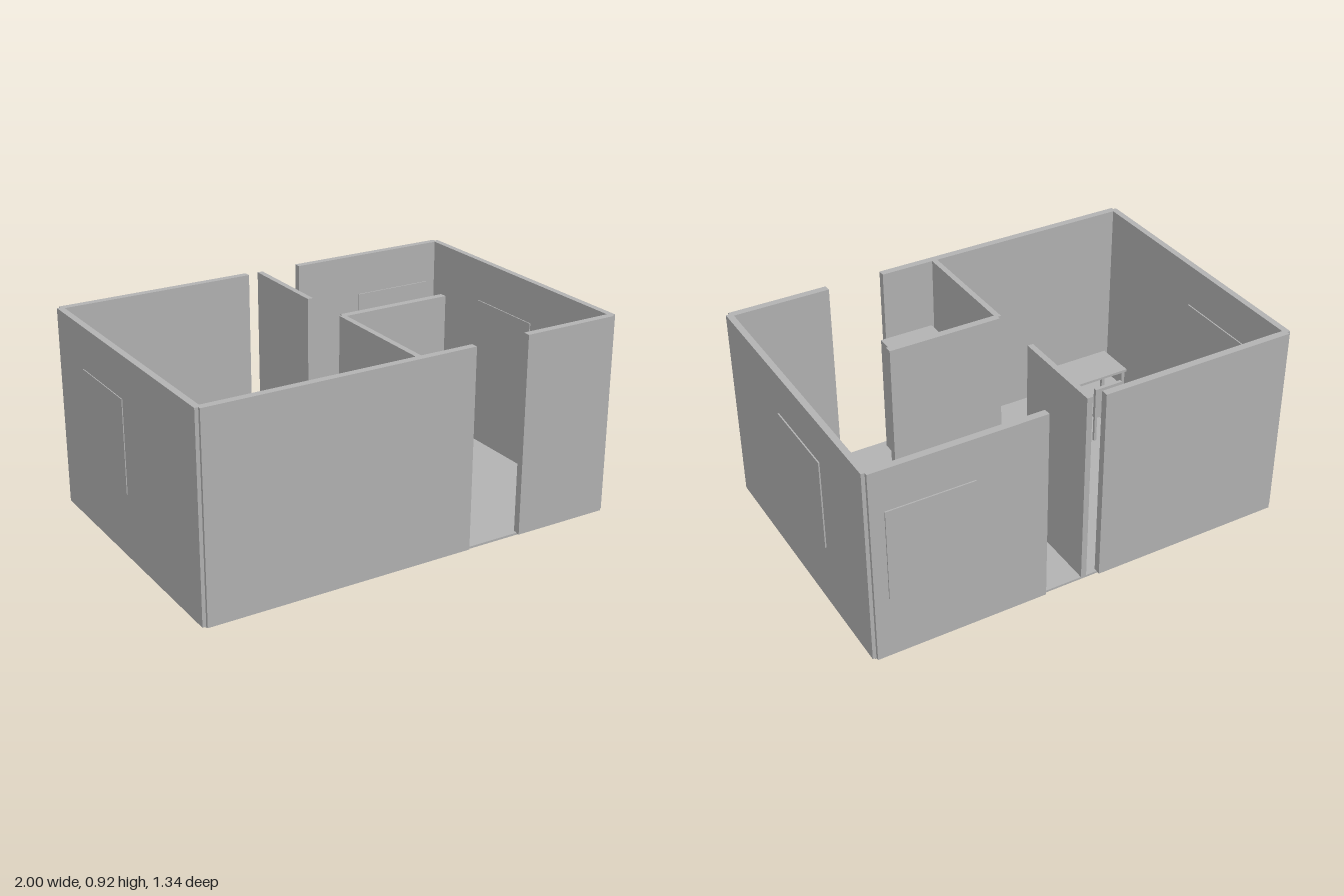
import * as THREE from 'three';

export function createModel() {
  const model = new THREE.Group();
  model.name = 'officeFloor';
  const grey = new THREE.MeshStandardMaterial({ color: 0xb2b2b2 });
  grey.name = 'plain grey';

  // Box given by its limits on each axis
  function box(name, x0, x1, y0, y1, z0, z1, parent = model) {
    const mesh = new THREE.Mesh(new THREE.BoxGeometry(x1 - x0, y1 - y0, z1 - z0), grey);
    mesh.position.set((x0 + x1) / 2, (y0 + y1) / 2, (z0 + z1) / 2);
    mesh.name = name;
    parent.add(mesh);
    return mesh;
  }

  box('floor', -0.98, 0.98, 0, 0.01, -0.654, 0.654);

  // Outer walls with door gaps, then the partitions: x0, x1, z0, z1
  const walls = {
    backWallRight: [-0.98, -0.07, -0.67, -0.637],
    backWallLeft: [0.193, 0.975, -0.67, -0.637],
    frontWallRight: [-0.98, 0.258, 0.635, 0.668],
    frontWallLeft: [0.52, 0.975, 0.635, 0.668],
    rightSideWall: [-0.996, -0.967, -0.655, 0.655],
    leftSideWall: [0.962, 0.991, -0.655, 0.655],
    backPartition: [-0.016, 0.01, -0.654, -0.2],
    frontPartition: [-0.016, 0.01, 0.062, 0.64],
    crossPartition: [0, 0.52, 0.046, 0.079],
  };
  for (const [name, [x0, x1, z0, z1]] of Object.entries(walls)) {
    box(name, x0, x1, 0.006, 0.92, z0, z1);
  }

  // Windows stand slightly proud of both wall faces
  box('rightWindow', -1, -0.961, 0.302, 0.727, -0.395, 0);
  box('leftWindow', 0.957, 0.997, 0.302, 0.727, -0.265, 0.13);
  box('backWindow', 0.52, 0.912, 0.302, 0.727, -0.676, -0.631);

  // Two desks with chairs, mirrored across the room
  for (const s of [-1, 1]) {
    const place = new THREE.Group();
    place.name = s < 0 ? 'backWorkplace' : 'frontWorkplace';
    model.add(place);
    const part = (name, x0, x1, y0, y1, a, b) =>
      box(name, x0, x1, y0, y1, Math.min(s * a, s * b), Math.max(s * a, s * b), place);

    part('deskTop', -0.85, -0.458, 0.24, 0.252, 0.294, 0.49);
    for (const x of [-0.843, -0.481]) {
      for (const z of [0.301, 0.467]) part('deskLeg', x, x + 0.016, 0.01, 0.24, z, z + 0.016);
    }
    part('chairSeat', -0.728, -0.581, 0.14, 0.155, 0.155, 0.302);
    part('chairBack', -0.728, -0.581, 0.155, 0.3, 0.155, 0.172);
    for (const x of [-0.728, -0.594]) {
      for (const z of [0.155, 0.289]) part('chairLeg', x, x + 0.013, 0.01, 0.14, z, z + 0.013);
    }
  }

  // Meeting table: rounded-end top on two posts
  const r = 0.146, half = 0.147;
  const outline = new THREE.Shape();
  outline.absarc(half, 0, r, -Math.PI / 2, Math.PI / 2);
  outline.absarc(-half, 0, r, Math.PI / 2, Math.PI * 1.5);
  outline.closePath();
  const topGeometry = new THREE.ExtrudeGeometry(outline, { depth: 0.012, bevelEnabled: false, curveSegments: 24 });
  topGeometry.rotateX(-Math.PI / 2);
  const tableTop = new THREE.Mesh(topGeometry, grey);
  tableTop.name = 'meetingTableTop';
  tableTop.position.set(0.486, 0.238, -0.33);
  model.add(tableTop);
  for (const x of [0.339, 0.633]) {
    box('meetingTableLeg', x - 0.017, x + 0.017, 0.01, 0.238, -0.347, -0.313);
  }

  // Cabinet with two handles
  box('cabinet', 0.03, 0.29, 0.01, 0.597, 0.49, 0.621);
  for (const x of [0.147, 0.173]) {
    box('cabinetHandle', x - 0.004, x + 0.004, 0.28, 0.33, 0.482, 0.49);
  }

  return model;
}
